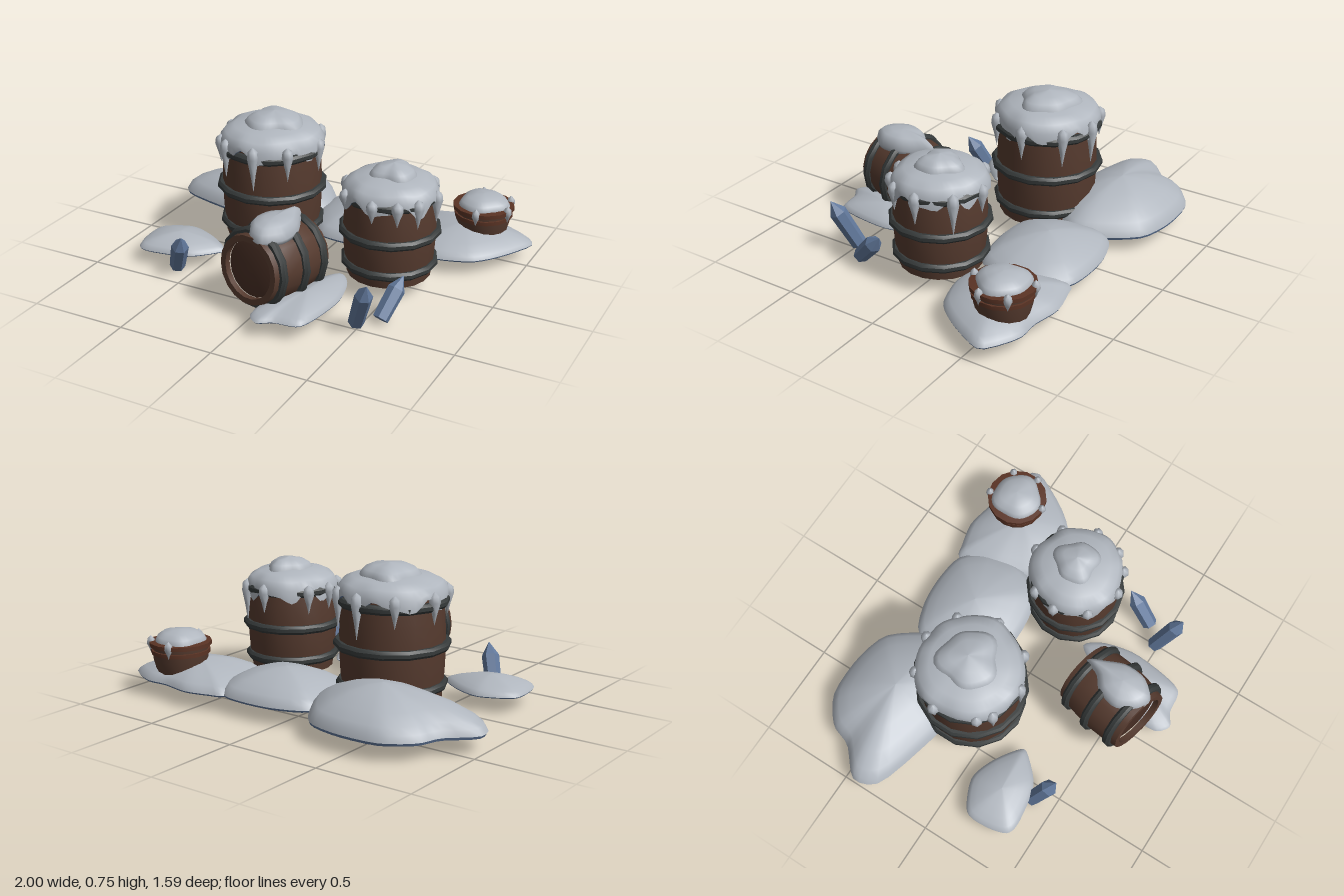
import * as THREE from 'three';
import { toCreasedNormals } from 'three/addons/utils/BufferGeometryUtils.js';

const material = (name, color) => {
  const m = new THREE.MeshStandardMaterial({ color });
  m.name = name;
  return m;
};

export function createModel() {
  const snow = material('snow', 0xb0b6be);
  const ice = material('ice', 0x62799c);
  const wood = material('wood', 0x553a2e);
  const lidWood = material('lid wood', 0x472e24);
  const redWood = material('red wood', 0x5a3324);
  const iron = material('iron', 0x363a3a);
  const root = new THREE.Group();

  const add = (parent, name, geo, mat) => {
    const mesh = new THREE.Mesh(geo, mat);
    mesh.name = name;
    parent.add(mesh);
    return mesh;
  };
  const lathe = (pts, sides, crease = 0.6) =>
    toCreasedNormals(new THREE.LatheGeometry(pts.map(p => new THREE.Vector2(...p)), sides), crease);

  // Skin over rings that scale an outline about a centre: ring = [scale, y, edge wave]
  const skin = (outline, [cx, cz], rings, seed = 0) => {
    const n = outline.length, pos = [], index = [];
    rings.forEach(([s, y, wave = 0], r) => {
      outline.forEach(([x, z], j) => {
        const a = j / n * Math.PI * 2;
        const w = 0.65 * Math.sin(a * 7 + seed) + 0.35 * Math.sin(a * 11 + seed * 2);
        pos.push(cx + (x - cx) * s, y + wave * w, cz + (z - cz) * s);
        if (r === 0) return;
        const p = (r - 1) * n + j, q = (r - 1) * n + (j + 1) % n;
        index.push(p, q, p + n, q, q + n, p + n);
      });
    });
    const g = new THREE.BufferGeometry();
    g.setAttribute('position', new THREE.Float32BufferAttribute(pos, 3));
    g.setIndex(index);
    g.computeVertexNormals();
    return g;
  };

  // Smooth closed outline, ordered counter-clockwise from above
  const smoothOutline = (pts, n) => {
    const curve = new THREE.CatmullRomCurve3(pts.map(([x, z]) => new THREE.Vector3(x, 0, z)), true, 'catmullrom', 0.4);
    const out = curve.getPoints(n).slice(0, n).map(p => [p.x, p.z]);
    const area = out.reduce((s, [x, z], i) => {
      const [x2, z2] = out[(i + 1) % n];
      return s + x * z2 - x2 * z;
    }, 0);
    return area > 0 ? out.reverse() : out;
  };
  const wobblyCircle = (cx, cz, r, wobble, seed, n = 36) => Array.from({ length: n }, (_, j) => {
    const a = j / n * Math.PI * 2;
    const rr = r * (1 + wobble * (Math.sin(3 * a + seed) + 0.6 * Math.sin(5 * a + seed * 2)));
    return [cx + rr * Math.cos(a), cz - rr * Math.sin(a)];
  });

  // Ground drifts: outline, peak, height
  const ground = 0.07;
  const drift = (name, pts, centre, h) => {
    const outline = smoothOutline(pts, 40);
    const profile = [[1, 0.07], [0.96, 0.24], [0.88, 0.4], [0.7, 0.62], [0.45, 0.83], [0.2, 0.96], [0, 1]];
    add(root, name, skin(outline, centre, profile.map(([s, y]) => [s, ground + h * y])), snow);
    const under = skin(outline, centre, [[0, ground], [0.985, ground], [1, ground + h * 0.07]]);
    add(root, name + 'Underside', toCreasedNormals(under, 0.6), ice);
  };
  drift('backRightDrift', [[-1, -0.44], [-0.87, -0.57], [-0.82, -0.69], [-0.68, -0.79], [-0.46, -0.8], [-0.27, -0.75],
    [-0.15, -0.6], [-0.08, -0.42], [-0.25, -0.25], [-0.5, -0.21], [-0.62, -0.22], [-0.94, -0.31]], [-0.5, -0.5], 0.19);
  drift('backMiddleDrift', [[-0.16, -0.6], [0, -0.68], [0.17, -0.695], [0.33, -0.67], [0.43, -0.55], [0.46, -0.36],
    [0.38, -0.2], [0.24, -0.16], [0.1, -0.15], [-0.05, -0.18], [-0.16, -0.35]], [0.13, -0.43], 0.14);
  drift('backLeftDrift', [[0.33, -0.67], [0.4, -0.7], [0.54, -0.73], [0.7, -0.7], [0.83, -0.7], [0.995, -0.6],
    [0.95, -0.47], [0.87, -0.34], [0.78, -0.25], [0.62, -0.2], [0.48, -0.22], [0.4, -0.35], [0.33, -0.5]], [0.66, -0.48], 0.11);
  drift('frontRightDrift', [[-0.4, 0.2], [-0.41, 0.25], [-0.53, 0.36], [-0.73, 0.4], [-0.81, 0.38], [-0.84, 0.28],
    [-0.83, 0.15], [-0.67, 0.07], [-0.53, 0.11]], [-0.64, 0.24], 0.075);
  drift('frontMiddleDrift', [[0.26, 0.17], [0.33, 0.25], [0.37, 0.42], [0.35, 0.62], [0.31, 0.73], [0.19, 0.75],
    [0.12, 0.79], [0.06, 0.74], [0.06, 0.64], [0.13, 0.5], [0.18, 0.3]], [0.24, 0.5], 0.07);

  // Barrel around its own centre, with recessed lid and raised iron hoops
  const barrel = (name, len, rEnd, rMid, hoops, openBothEnds) => {
    const g = new THREE.Group(), h = len / 2, rIn = rEnd - 0.03;
    g.name = name;
    const foot = openBothEnds ? [[rIn, -h + 0.03], [rIn, -h], [rEnd, -h]] : [[0, -h], [rEnd, -h]];
    const staves = [...foot, [(rEnd + rMid * 2) / 3, -h * 0.5], [rMid, 0],
      [(rEnd + rMid * 2) / 3, h * 0.5], [rEnd, h], [rIn, h], [rIn, h - 0.03]];
    add(g, 'staves', lathe(staves, 18), wood);
    add(g, 'lid', lathe([[rIn, h - 0.035], [rIn - 0.02, h - 0.03], [0, h - 0.03]], 18), lidWood);
    if (openBothEnds) add(g, 'base', lathe([[0, -h + 0.03], [rIn, -h + 0.03]], 18), lidWood);
    hoops.forEach(([y, r]) => add(g, 'hoop',
      lathe([[r - 0.045, y - 0.022], [r - 0.012, y - 0.022], [r, y - 0.009], [r, y + 0.009],
        [r - 0.012, y + 0.022], [r - 0.045, y + 0.022]], 14, 0.5), iron));
    root.add(g);
    return g;
  };

  // Icicle hanging below a rounded bead
  const icicle = (x, y, z, len, r = 0.03) => {
    const m = add(root, 'icicle', lathe([[0, -len], [r * 0.45, -len * 0.55], [r, -len * 0.12], [r * 0.85, 0.015], [0, 0.035]], 7, 1.2), snow);
    m.position.set(x, y, z);
  };

  // Ragged snow cap with a second lump and a ring of icicles
  const cap = (name, cx, cz, r, y, seed, lump, icicles) => {
    const o = wobblyCircle(cx, cz, r, 0.02, seed, 56);
    add(root, name, skin(o, [cx, cz], [[1, y, 0.04], [0.99, y + 0.045, 0.015], [0.9, y + 0.08, 0.005],
      [0.72, y + 0.105], [0.4, y + 0.12], [0, y + 0.125]], seed), snow);
    add(root, name + 'Underside', skin(o, [cx, cz], [[0.82, y + 0.03], [0.93, y + 0.01, 0.02], [1, y, 0.04]], seed), ice);
    const top = wobblyCircle(cx + 0.01, cz - 0.01, lump, 0.09, seed + 1);
    add(root, name + 'Lump', skin(top, [cx + 0.01, cz - 0.01], [[1.02, y + 0.08], [1, y + 0.115], [0.85, y + 0.14],
      [0.55, y + 0.162], [0, y + 0.172]]), snow);
    icicles.forEach(([deg, len]) => {
      const a = deg * Math.PI / 180;
      icicle(cx + Math.sin(a) * r * 0.99, y + 0.03, cz + Math.cos(a) * r * 0.99, len);
    });
  };

  // Two standing barrels
  barrel('tallBarrel', 0.55, 0.245, 0.263, [[-0.2, 0.275], [0, 0.29], [0.215, 0.28]]).position.set(-0.31, 0.345, -0.15);
  cap('tallBarrelSnow', -0.31, -0.15, 0.272, 0.57, 0.6, 0.15,
    [[-33, 0.18], [8, 0.21], [46, 0.15], [92, 0.15], [137, 0.18], [176, 0.2], [217, 0.13], [262, 0.13], [310, 0.12]]);
  barrel('mediumBarrel', 0.48, 0.212, 0.235, [[-0.17, 0.245], [0, 0.258], [0.19, 0.243]]).position.set(0.44, 0.31, 0);
  cap('mediumBarrelSnow', 0.44, 0, 0.24, 0.48, 2.1, 0.115,
    [[-45, 0.08], [2, 0.09], [32, 0.1], [58, 0.12], [95, 0.14], [140, 0.19], [182, 0.12], [240, 0.12], [272, 0.11]]);

  // Barrel lying on its side, with snow along the top
  const lying = barrel('lyingBarrel', 0.39, 0.175, 0.198, [[-0.145, 0.207], [0, 0.22], [0.145, 0.207]], true);
  lying.position.set(0.045, 0.245, 0.465);
  lying.quaternion.setFromUnitVectors(new THREE.Vector3(0, 1, 0), new THREE.Vector3(-0.22, 0.07, 0.97).normalize());
  const patch = smoothOutline([[0.09, 0.28], [0.13, 0.36], [0.17, 0.46], [0.16, 0.58], [0.08, 0.66], [0, 0.63],
    [-0.05, 0.53], [-0.02, 0.42], [0.05, 0.36]], 32);
  add(root, 'lyingBarrelSnow', skin(patch, [0.07, 0.5], [[0, 0.4], [0.95, 0.4], [1, 0.42], [0.93, 0.455],
    [0.75, 0.48], [0.4, 0.492], [0, 0.495]]), snow);

  // Small tub half sunk in the back drift
  const tub = new THREE.Group();
  tub.name = 'tub';
  tub.position.set(0.73, 0, -0.55);
  add(tub, 'staves', lathe([[0, 0.1], [0.12, 0.1], [0.14, 0.18], [0.145, 0.27], [0.12, 0.27], [0.12, 0.24]], 16), wood);
  add(tub, 'lid', lathe([[0.122, 0.245], [0, 0.245]], 16), lidWood);
  for (const [y, r] of [[0.22, 0.152], [0.26, 0.16]]) {
    add(tub, 'band', lathe([[r - 0.035, y - 0.013], [r, y - 0.01], [r, y + 0.01], [r - 0.035, y + 0.013]], 14), redWood);
  }
  root.add(tub);
  add(root, 'tubSnow', skin(wobblyCircle(0.73, -0.55, 0.13, 0.05, 1), [0.73, -0.55],
    [[1, 0.25], [1, 0.275], [0.9, 0.297], [0.65, 0.318], [0.3, 0.328], [0, 0.33]]), snow);
  for (const deg of [5, 75, 130, 200]) {
    const a = deg * Math.PI / 180;
    icicle(0.73 + Math.sin(a) * 0.15, 0.265, -0.55 + Math.cos(a) * 0.15, 0.06, 0.022);
  }

  // Pointed six-sided ice crystals
  const crystal = (base, tip, r) => {
    const a = new THREE.Vector3(...base), d = new THREE.Vector3(...tip).sub(a), len = d.length();
    const m = add(root, 'iceCrystal', lathe([[0, 0], [r * 0.9, 0], [r, len - 0.075], [0, len]], 6, 0.3), ice);
    m.position.copy(a);
    m.quaternion.setFromUnitVectors(new THREE.Vector3(0, 1, 0), d.normalize());
  };
  crystal([-0.58, 0.02, 0.38], [-0.49, 0.235, 0.47], 0.045);
  crystal([0.49, 0.02, 0.48], [0.585, 0.28, 0.575], 0.045);
  crystal([0.58, 0.02, 0.4], [0.625, 0.19, 0.24], 0.045);

  return root;
}
